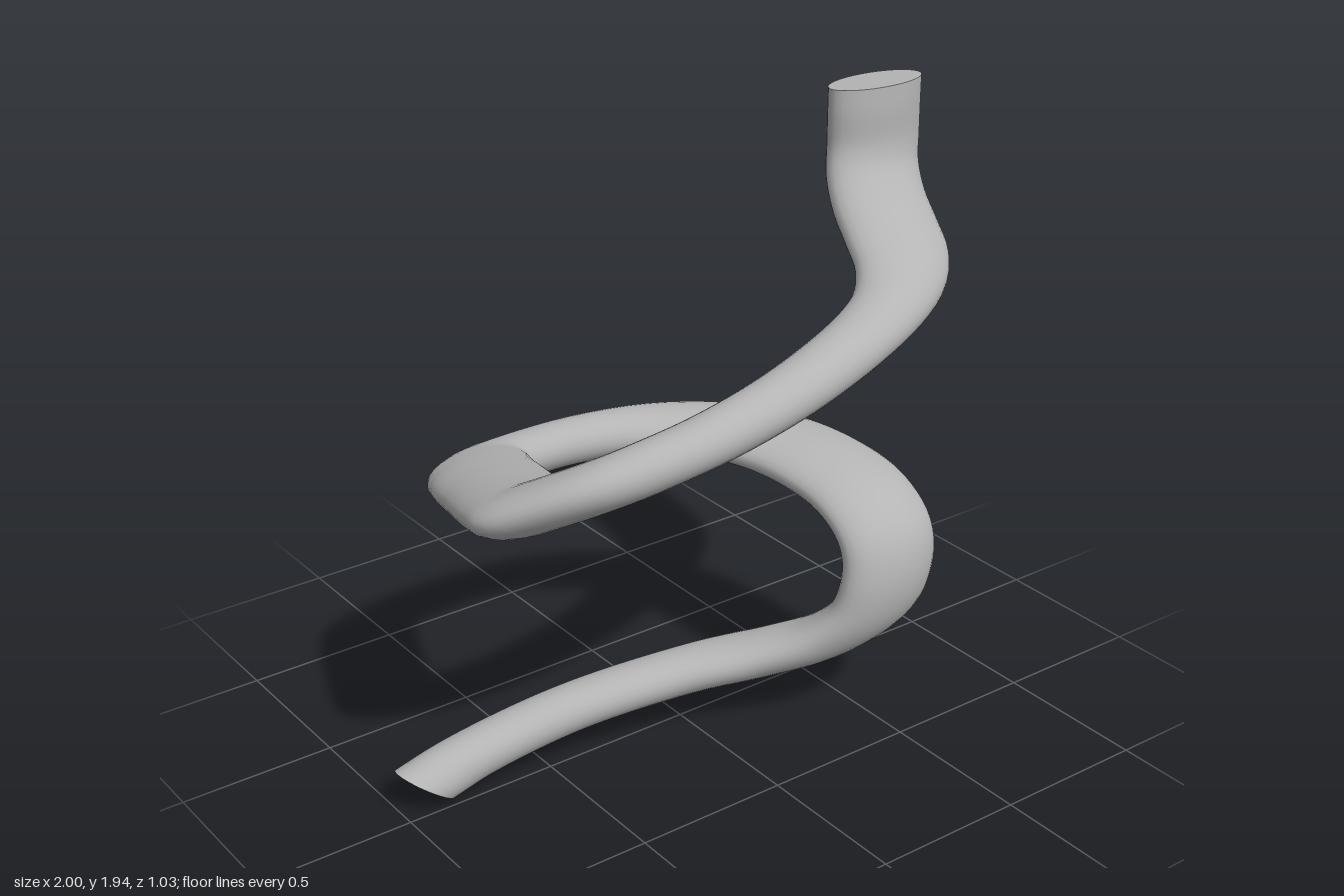
import * as THREE from 'three';

// Round pipe, stretched so that its cross-section is wide along x and slightly low along y
const STRETCH = new THREE.Vector3(2.07, 0.86, 1);
const RADIUS = 0.085;
const SIDES = 28;

// Centre line from the lower end to the upper end
const PATH = [
  [-0.908, 0.066, -0.066], [-0.75, 0.103, -0.068], [-0.4, 0.162, -0.035], [0, 0.204, 0.055],
  [0.22, 0.238, 0.16], [0.38, 0.297, 0.27], [0.49, 0.4, 0.35], [0.533, 0.53, 0.37],
  [0.547, 0.64, 0.335], [0.547, 0.72, 0.23], [0.53, 0.765, 0.08], [0.47, 0.793, -0.12],
  [0.33, 0.816, -0.3], [0.12, 0.832, -0.405], [-0.1, 0.845, -0.434], [-0.3, 0.86, -0.415],
  [-0.48, 0.88, -0.365], [-0.545, 0.912, -0.26], [-0.6, 0.955, -0.09], [-0.66, 1.006, 0.11],
  [-0.675, 1.03, 0.19], [-0.64, 1.063, 0.25], [-0.49, 1.142, 0.375], [-0.39, 1.17, 0.405],
  [-0.2, 1.205, 0.423], [0.05, 1.25, 0.41], [0.3, 1.3, 0.367], [0.52, 1.346, 0.3],
  [0.65, 1.39, 0.24], [0.725, 1.445, 0.165], [0.753, 1.51, 0.08], [0.772, 1.585, -0.005],
  [0.8, 1.67, -0.073], [0.821, 1.75, -0.098], [0.822, 1.87, -0.1], [0.825, 1.937, -0.103],
];

export function createModel() {
  const model = new THREE.Group();
  model.name = 'spiralPipe';
  const grey = new THREE.MeshStandardMaterial({ color: 0xb4b4b4 });
  grey.name = 'grey';

  const curve = new THREE.CatmullRomCurve3(
    PATH.map((p) => new THREE.Vector3(...p).divide(STRETCH)), false, 'centripetal');

  const addPart = (name, geometry) => {
    geometry.scale(STRETCH.x, STRETCH.y, STRETCH.z);
    const mesh = new THREE.Mesh(geometry, grey);
    mesh.name = name;
    model.add(mesh);
  };

  // Coiled pipe wall
  addPart('pipe', new THREE.TubeGeometry(curve, 160, RADIUS, SIDES, false));

  // Flat discs closing both ends, facing outwards
  const front = new THREE.Vector3(0, 0, 1);
  for (const [name, t, sign] of [['lowerEnd', 0, -1], ['upperEnd', 1, 1]]) {
    const outward = curve.getTangentAt(t).multiplyScalar(sign);
    const turn = new THREE.Quaternion().setFromUnitVectors(front, outward);
    const disc = new THREE.CircleGeometry(RADIUS, SIDES * 2).applyQuaternion(turn);
    const centre = curve.getPointAt(t);
    disc.translate(centre.x, centre.y, centre.z);
    addPart(name, disc);
  }
  return model;
}
